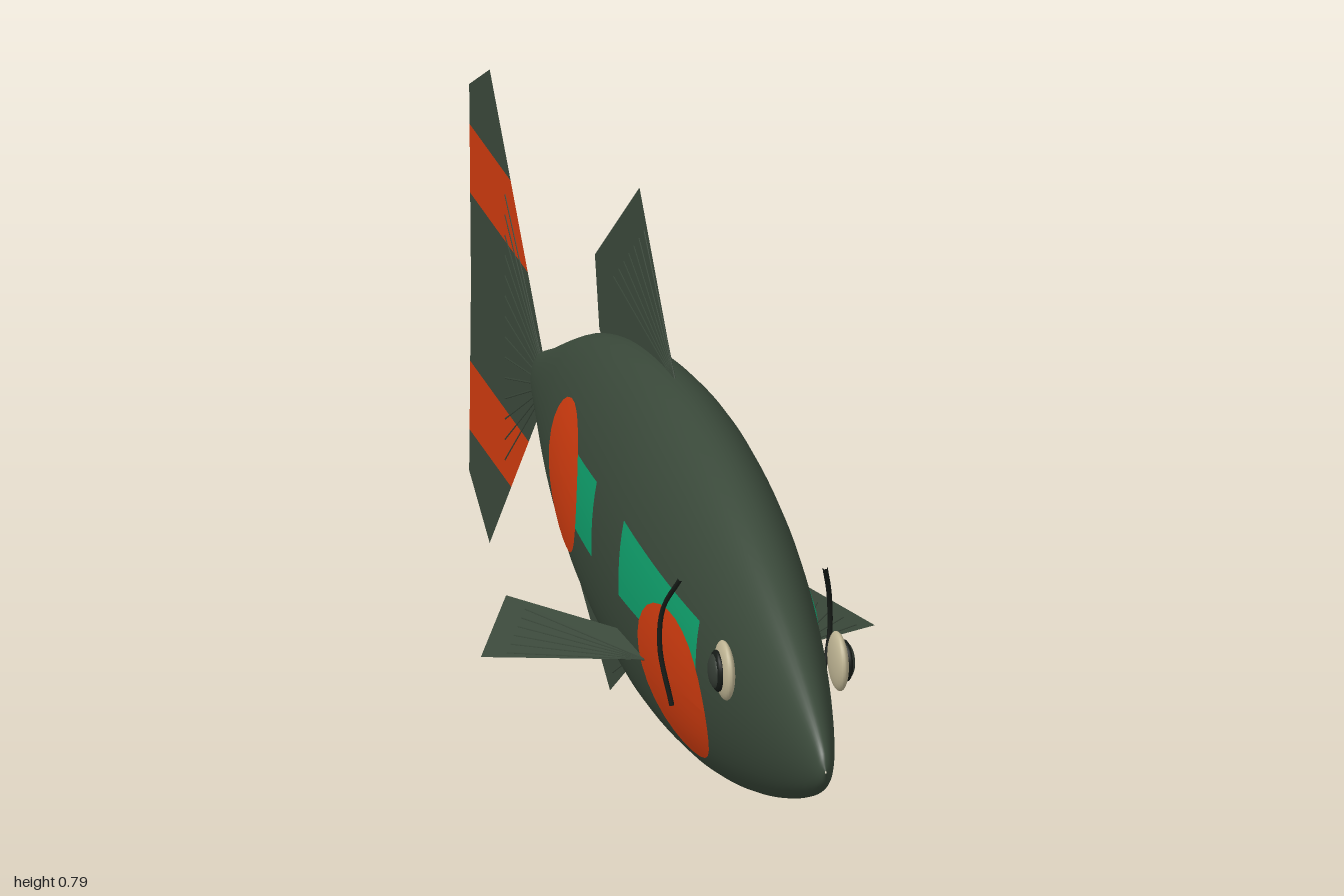
import * as THREE from 'three';
import { mergeVertices } from 'three/addons/utils/BufferGeometryUtils.js';

const mat = (name, color, side = THREE.FrontSide) => {
  const m = new THREE.MeshStandardMaterial({ color, side });
  m.name = name;
  return m;
};

// Body profile: z, half height, centre height
const PROFILE = [
  [-0.62, 0.004, 0.335], [-0.6, 0.028, 0.336], [-0.5, 0.07, 0.34], [-0.38, 0.117, 0.347],
  [-0.27, 0.155, 0.354], [-0.1, 0.198, 0.36], [0.08, 0.223, 0.363], [0.25, 0.23, 0.363],
  [0.45, 0.213, 0.36], [0.6, 0.183, 0.356], [0.75, 0.138, 0.35], [0.88, 0.086, 0.342],
  [0.96, 0.045, 0.336], [0.99, 0.022, 0.334], [1, 0.002, 0.333],
];
const WIDTH = 0.465; // half width relative to half height
const samples = new THREE.CatmullRomCurve3(PROFILE.map((p) => new THREE.Vector3(...p))).getPoints(70);

// Half height and centre at a given z
function section(z) {
  let i = 1;
  while (i < samples.length - 1 && samples[i].x < z) i++;
  const a = samples[i - 1], b = samples[i];
  const t = THREE.MathUtils.clamp((z - a.x) / (b.x - a.x), 0, 1);
  return { h: a.y + (b.y - a.y) * t, c: a.z + (b.z - a.z) * t };
}

// Flank x at a given z and y
function flank(z, y) {
  const { h, c } = section(z);
  return WIDTH * h * Math.sqrt(Math.max(0, 1 - ((y - c) / h) ** 2));
}

function bodyGeometry() {
  let g = new THREE.LatheGeometry(samples.map((s) => new THREE.Vector2(s.y, s.x)), 48);
  const p = g.attributes.position;
  for (let i = 0; i < p.count; i++) {
    const z = p.getY(i);
    p.setXYZ(i, p.getX(i) * WIDTH, section(z).c - p.getZ(i), z);
  }
  g.deleteAttribute('uv');
  g.deleteAttribute('normal');
  g = mergeVertices(g);
  g.computeVertexNormals();
  return g;
}

// Thin painted patch wrapped on the flank; place(u, v) gives [z, y]
function patchGeometry(side, offset, nu, nv, place) {
  const g = new THREE.PlaneGeometry(1, 1, nu, nv);
  const p = g.attributes.position;
  for (let i = 0; i < p.count; i++) {
    const [z, y] = place(p.getX(i) + 0.5, p.getY(i) + 0.5);
    p.setXYZ(i, side * (flank(z, y) + offset), y, z);
  }
  g.computeVertexNormals();
  return g;
}

const ellipse = (z, y, rz, ry) => (u, v) =>
  [z + rz * v * Math.cos(u * Math.PI * 2), y + ry * v * Math.sin(u * Math.PI * 2)];

const quad = (z0, z1, top0, top1, bottom) => (u, v) =>
  [z0 + (z1 - z0) * u, bottom + (top0 + (top1 - top0) * u - bottom) * v];

// Flat fin on the centre plane from [z, y] corners
function finGeometry(points) {
  const g = new THREE.ShapeGeometry(new THREE.Shape(points.map((p) => new THREE.Vector2(...p))));
  return g.rotateY(-Math.PI / 2);
}

export function createModel() {
  const model = new THREE.Group();
  const D = THREE.DoubleSide;
  const skin = mat('dark green skin', 0x3a493a);
  const fin = mat('dark green fin', 0x3c4a3c, D);
  const orange = mat('orange', 0xd23c0f, D);
  const green = mat('bright green', 0x0f9f6b, D);
  const cream = mat('cream', 0xbfb594);
  const pupilMat = mat('pupil', 0x343c34);
  const dark = mat('near black', 0x161b17);

  const add = (name, geometry, material, parent = model) => {
    const m = new THREE.Mesh(geometry, material);
    m.name = name;
    parent.add(m);
    return m;
  };
  const V = (x, y, z) => new THREE.Vector3(x, y, z);

  // Fin rays fanning from a root along the edge from a to b
  const addRays = (name, root, a, b, count, reach) => {
    const group = new THREE.Group();
    group.name = name;
    for (let i = 0; i < count; i++) {
      const end = root.clone().lerp(a.clone().lerp(b, (i + 0.5) / count), reach);
      add('finRay', new THREE.TubeGeometry(new THREE.LineCurve3(root, end), 1, 0.0012, 4), fin, group);
    }
    model.add(group);
  };

  add('body', bodyGeometry(), skin);

  // Dorsal and anal fins, with bases sunk into the body
  add('dorsalFin', finGeometry([[0.16, 0.585], [-0.045, 0.79], [-0.295, 0.61], [-0.27, 0.515],
    [-0.24, 0.5], [-0.05, 0.54]]), fin);
  addRays('dorsalRays', V(0, 0.585, 0.16), V(0, 0.79, -0.045), V(0, 0.61, -0.295), 7, 0.8);
  add('analFin', finGeometry([[0, 0.165], [-0.21, 0.03], [-0.5, 0.19], [-0.5, 0.29],
    [-0.3, 0.24], [-0.1, 0.19]]), fin);
  addRays('analRays', V(0, 0.165, 0), V(0, 0.03, -0.21), V(0, 0.19, -0.5), 7, 0.85);

  // Tail fin cut into horizontal bands
  const edge = (y) => -0.55 - Math.abs(y - 0.335) * 1.01;
  const rear = (y) => -0.99 - 0.01 * Math.min(1, Math.abs(y - 0.335) / 0.27);
  const band = (y0, y1) => [[edge(y0), y0], [rear(y0), y0], [rear(y1), y1], [edge(y1), y1]];
  add('tailCentre', finGeometry([[-0.55, 0.335], ...band(0.22, 0.455).slice(0, 2), [-0.99, 0.335],
    ...band(0.22, 0.455).slice(2)]), fin);
  add('tailStripeUpper', finGeometry(band(0.455, 0.55)), orange);
  add('tailStripeLower', finGeometry(band(0.123, 0.22)), orange);
  add('tailTipUpper', finGeometry([[edge(0.55), 0.55], [rear(0.55), 0.55], [-1, 0.605], [-0.885, 0.665]]), fin);
  add('tailTipLower', finGeometry([[edge(0.123), 0.123], [rear(0.123), 0.123], [-1, 0.065], [-0.885, 0.003]]), fin);
  addRays('tailRays', V(0, 0.335, -0.56), V(0, 0.62, -0.9), V(0, 0.05, -0.9), 14, 0.7);

  for (const side of [1, -1]) {
    const label = side > 0 ? 'left' : 'right';

    // Flank markings
    const paint = (name, material, offset, nu, nv, place) =>
      add(label + name, patchGeometry(side, offset, nu, nv, place), material);
    paint('FrontGreenPatch', green, 0.002, 14, 6, quad(0.62, 0.285, 0.42, 0.447, 0.343));
    paint('RearGreenPatch', green, 0.002, 8, 6, quad(0.13, -0.02, 0.447, 0.44, 0.343));
    paint('FrontOrangeSpot', orange, 0.004, 28, 6, ellipse(0.512, 0.3, 0.136, 0.1));
    paint('RearOrangeSpot', orange, 0.004, 28, 6, ellipse(-0.085, 0.382, 0.12, 0.1));

    // Gill line
    const gill = new THREE.CatmullRomCurve3([
      V(side * 0.098, 0.47, 0.59), V(side * 0.113, 0.415, 0.552),
      V(side * 0.115, 0.36, 0.545), V(side * 0.1, 0.28, 0.55)]);
    add(label + 'Gill', new THREE.TubeGeometry(gill, 16, 0.0035, 6), dark);

    // Eye
    const eye = new THREE.Group();
    eye.name = label + 'Eye';
    eye.position.set(side * 0.077, 0.396, 0.75);
    add('eyeball', new THREE.SphereGeometry(0.04, 24, 16), cream, eye).scale.x = 0.28;
    const rim = add('pupilRim', new THREE.SphereGeometry(0.028, 20, 12), dark, eye);
    rim.scale.x = 0.3;
    rim.position.x = side * 0.01;
    const pupil = add('pupil', new THREE.SphereGeometry(0.024, 20, 12), pupilMat, eye);
    pupil.scale.x = 0.4;
    pupil.position.x = side * 0.012;
    model.add(eye);

    // Pectoral fin
    const root = V(side * 0.1, 0.292, 0.4), tip = V(side * 0.267, 0.23, 0.17), back = V(side * 0.188, 0.246, -0.015);
    const inner = V(side * 0.104, 0.288, 0.26);
    const g = new THREE.BufferGeometry().setFromPoints([root, tip, back, root, back, inner]);
    g.computeVertexNormals();
    add(label + 'PectoralFin', g, fin);
    addRays(label + 'PectoralRays', root, tip, back, 6, 0.85);
  }
  return model;
}
